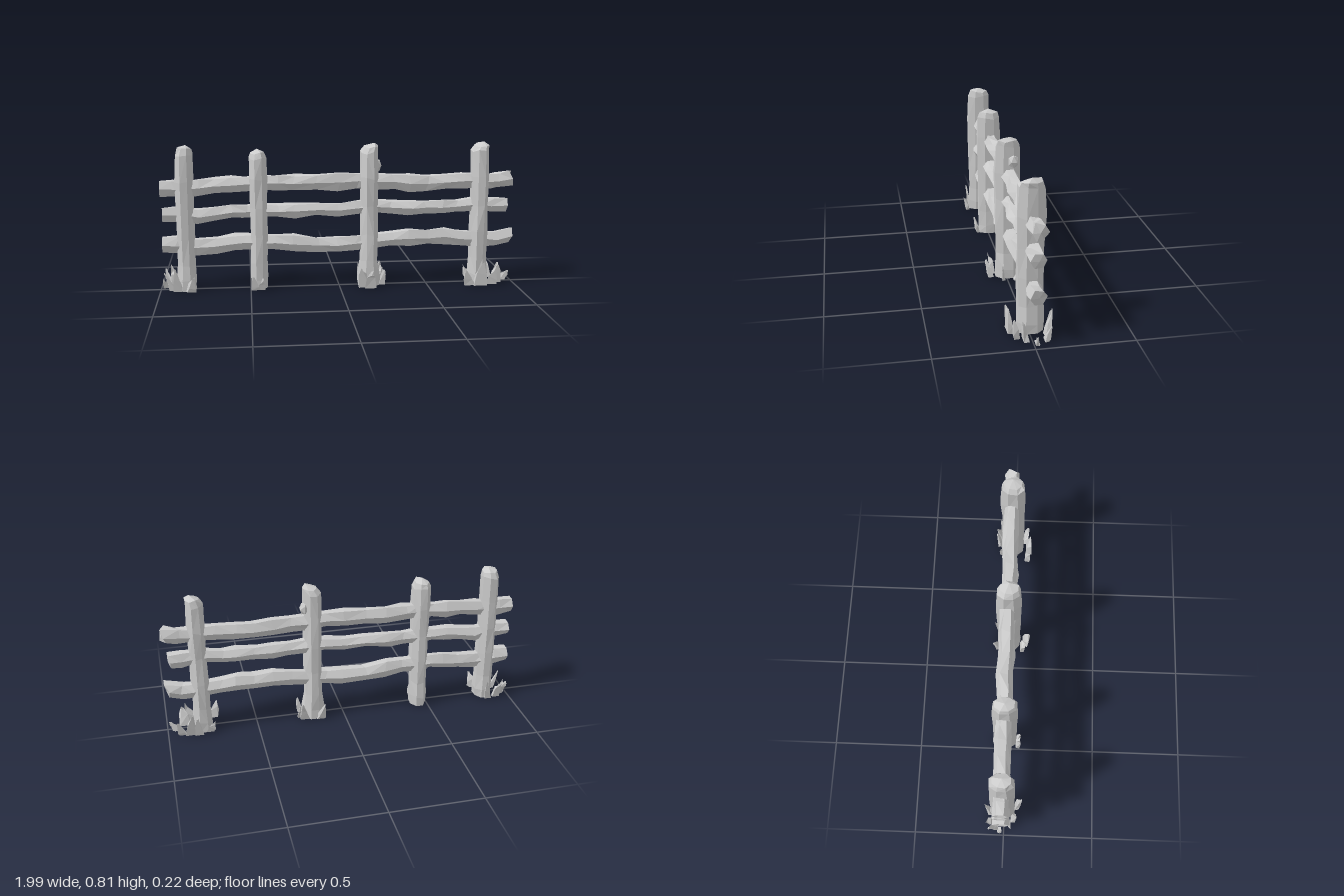
import * as THREE from 'three';

const material = new THREE.MeshStandardMaterial({ color: 0xcccccc, flatShading: true, side: THREE.DoubleSide });

// Small seeded generator for the hewn, uneven wood
let seed = 7;
const rand = () => {
  seed = (seed * 16807) % 2147483647;
  return seed / 2147483647;
};
const jitter = (amount) => (rand() * 2 - 1) * amount;

// Joins rings [t, centreU, centreV, halfU, halfV] along an axis; place(t, u, v) gives a point.
// Both ends close to a centre point shifted by capStart / capEnd = [dt, du, dv].
function loft(rings, sides, rough, place, capStart, capEnd) {
  const pos = [], index = [];
  const k = 1 / Math.cos(Math.PI / sides);
  rings.forEach(([t, cu, cv, hu, hv], i) => {
    const along = i === 0 ? 0 : rough * 0.25;
    for (let j = 0; j < sides; j++) {
      const a = ((j + 0.5) / sides) * Math.PI * 2;
      const r = k * (1 + jitter(rough));
      pos.push(...place(t + jitter(along) * 0.5, cu + Math.cos(a) * hu * r, cv + Math.sin(a) * hv * r));
    }
  });
  const id = (i, j) => i * sides + (j % sides);
  const last = rings.length - 1;
  for (let i = 0; i < last; i++) {
    for (let j = 0; j < sides; j++) {
      const a = id(i, j), b = id(i, j + 1), c = id(i + 1, j + 1), d = id(i + 1, j);
      if (rand() < 0.5) index.push(a, b, c, a, c, d);
      else index.push(a, b, d, b, c, d);
    }
  }
  const cap = (ring, [dt, du, dv]) => pos.push(...place(ring[0] + dt, ring[1] + du, ring[2] + dv));
  cap(rings[0], capStart);
  cap(rings[last], capEnd);
  const s = rings.length * sides;
  for (let j = 0; j < sides; j++) {
    index.push(id(0, j + 1), id(0, j), s);
    index.push(id(last, j), id(last, j + 1), s + 1);
  }
  const g = new THREE.BufferGeometry();
  g.setAttribute('position', new THREE.Float32BufferAttribute(pos, 3));
  g.setIndex(index);
  g.computeVertexNormals();
  return g;
}

function add(parent, name, geometry) {
  const mesh = new THREE.Mesh(geometry, material);
  mesh.name = name;
  parent.add(mesh);
  return mesh;
}

const upright = (t, u, v) => [u, t, -v];
const sideways = (t, u, v) => [t, u, v];

// Post: flared foot, straight shaft, chamfered top with an off-centre peak
function makePost({ x, h, foot, peak }) {
  const z = 0.01;
  const rings = [
    [0.005, x, z, 0.046 + foot, 0.066],
    [0.06, x, z, 0.047 + foot, 0.066],
    [0.15, x, z, 0.046, 0.064],
    [0.3, x, z, 0.047, 0.066],
    [0.46, x, z, 0.046, 0.066],
    [0.62, x, z, 0.048, 0.068],
    [h - 0.05, x, z, 0.046, 0.061],
    [h - 0.02, x + peak * 0.4, z, 0.037, 0.05],
  ];
  return loft(rings, 8, 0.07, upright, [0, 0, 0], [0.02, peak * 0.6, 0]);
}

// Rail: its centre line wanders through the [x, y] points
function makeRail(points, half) {
  const rings = [];
  points.forEach(([x, y], i) => {
    const end = i === 0 || i === points.length - 1;
    const s = end ? 0.95 : 0.9 + rand() * 0.15;
    rings.push([x, y, -0.016 + jitter(0.004), half * s, 0.038 * s]);
    // An in-between ring gives the axe-cut facets
    if (!end && i < points.length - 2) {
      const [nx, ny] = points[i + 1];
      rings.push([(x + nx) / 2, (y + ny) / 2 + jitter(0.006), -0.016, half * 0.9, 0.035]);
    }
  });
  return loft(rings, 6, 0.13, sideways, [0.015, 0, 0], [0.005, 0, 0]);
}

// Splinter: thin pointed shard leaning outwards from its foot
function makeSplinter(x, z, h, w, leanX, leanZ) {
  const mid = [x + leanX * 0.35, -z - leanZ * 0.35];
  return loft([
    [0.006, x, -z, w, w * 0.45],
    [h * 0.5, mid[0], mid[1], w * 0.8, w * 0.35],
    [h * 0.9, x + leanX * 0.85, -z - leanZ * 0.85, w * 0.2, w * 0.12],
  ], 4, 0.2, upright, [0, 0, 0], [h * 0.1, leanX * 0.15, -leanZ * 0.15]);
}

export function createModel() {
  seed = 7;
  const model = new THREE.Group();
  model.name = 'fence';

  // Posts
  const posts = [
    { x: -0.855, h: 0.815, foot: 0.004, peak: 0.012 },
    { x: -0.45, h: 0.79, foot: 0, peak: -0.004 },
    { x: 0.17, h: 0.815, foot: 0.014, peak: 0.03 },
    { x: 0.802, h: 0.815, foot: 0.004, peak: 0.022 },
  ];
  posts.forEach((p) => add(model, 'post', makePost(p)));

  // Rails, top to bottom
  const rails = {
    topRail: [[-0.99, 0.578], [-0.91, 0.575], [-0.78, 0.58], [-0.6, 0.592], [-0.45, 0.6], [-0.25, 0.595],
      [0, 0.598], [0.2, 0.6], [0.4, 0.585], [0.6, 0.59], [0.8, 0.595], [0.9, 0.59], [0.98, 0.603]],
    middleRail: [[-0.98, 0.432], [-0.9, 0.432], [-0.78, 0.418], [-0.6, 0.443], [-0.45, 0.445], [-0.25, 0.44],
      [0, 0.44], [0.2, 0.458], [0.4, 0.445], [0.6, 0.445], [0.75, 0.458], [0.88, 0.448], [0.96, 0.45]],
    bottomRail: [[-0.985, 0.262], [-0.9, 0.26], [-0.78, 0.245], [-0.6, 0.262], [-0.45, 0.265], [-0.25, 0.252],
      [0, 0.24], [0.2, 0.255], [0.4, 0.27], [0.6, 0.275], [0.78, 0.255], [0.9, 0.25], [0.985, 0.272]],
  };
  for (const [name, points] of Object.entries(rails)) {
    add(model, name, makeRail(points, name === 'middleRail' ? 0.038 : 0.044));
  }

  // Knot on the third post
  const knot = add(model, 'knot', new THREE.IcosahedronGeometry(0.03, 0));
  knot.position.set(0.218, 0.685, -0.035);
  knot.scale.set(0.9, 1.3, 1);

  // Splinters round the post feet: [x, z, height, half width, lean x, lean z]
  const splinters = [
    [-0.92, -0.07, 0.12, 0.022, -0.03, -0.03], [-0.95, -0.04, 0.09, 0.02, -0.03, -0.05],
    [-0.97, -0.03, 0.06, 0.018, -0.02, 0.02], [-0.9, 0.05, 0.14, 0.025, -0.02, 0.02],
    [-0.83, 0.07, 0.09, 0.026, 0.02, 0.03], [-0.87, -0.08, 0.13, 0.02, 0.02, -0.03],
    [-0.93, 0.03, 0.1, 0.02, -0.05, 0.01],
    [-0.47, 0.06, 0.08, 0.024, -0.02, 0.02], [-0.44, 0.06, 0.06, 0.02, 0.01, 0.02],
    [0.13, 0.07, 0.12, 0.03, -0.01, 0.02], [0.17, 0.085, 0.1, 0.03, 0.01, 0.03],
    [0.23, -0.06, 0.11, 0.022, 0.02, -0.04], [0.25, -0.04, 0.08, 0.018, 0.01, -0.03],
    [0.14, -0.075, 0.1, 0.024, -0.02, -0.03], [0.24, 0.02, 0.09, 0.02, 0.02, 0.01],
    [0.74, 0.08, 0.1, 0.03, -0.03, 0.02], [0.8, 0.09, 0.14, 0.035, 0.02, 0.01],
    [0.86, 0.07, 0.11, 0.03, 0.03, 0.02], [0.9, 0.03, 0.1, 0.028, 0.01, 0.02],
    [0.94, -0.02, 0.06, 0.025, 0.05, 0.01], [0.88, -0.08, 0.14, 0.025, -0.02, -0.03],
    [0.92, -0.07, 0.09, 0.022, 0.03, -0.02], [0.77, -0.07, 0.08, 0.022, -0.03, -0.02],
    [0.83, -0.09, 0.11, 0.022, 0.01, -0.02],
  ];
  const debris = new THREE.Group();
  debris.name = 'splinters';
  splinters.forEach((s) => add(debris, 'splinter', makeSplinter(...s)));
  model.add(debris);

  return model;
}
